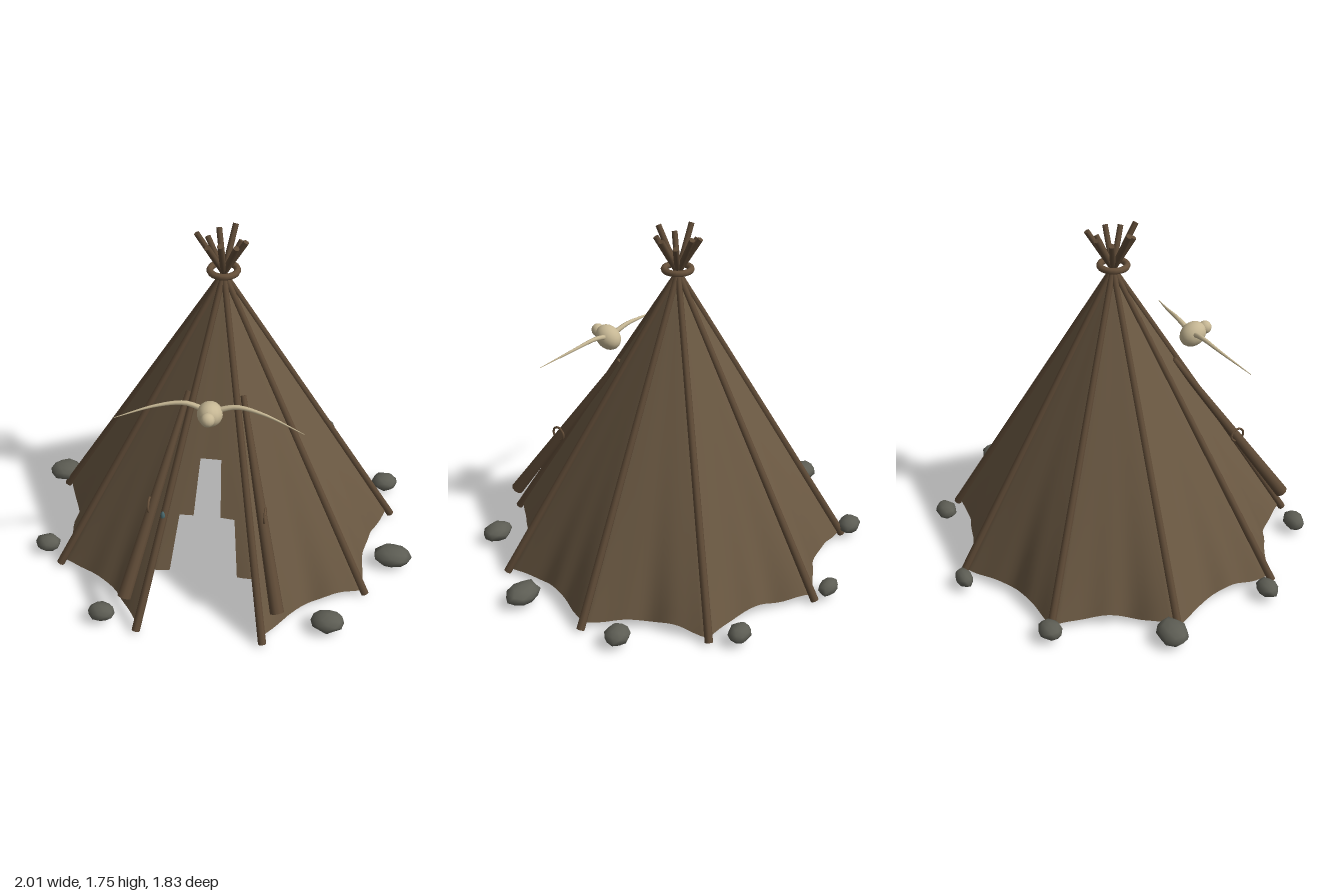
import * as THREE from 'three';
import { mergeVertices } from 'three/addons/utils/BufferGeometryUtils.js';

const mat = (name, color) => {
  const m = new THREE.MeshStandardMaterial({ color });
  m.name = name;
  return m;
};
const UP = new THREE.Vector3(0, 1, 0);
const APEX = 1.53;       // height where the poles cross
const SLOPE = 0.595;     // radius gained per unit below the crossing
const STEP = Math.PI * 2 / 9;
const lean = (y) => 0.01 + 0.024 * (APEX - y); // the crossing sits behind the middle of the base

export function createModel() {
  const hide = mat('hide', 0x6a5842);
  hide.side = THREE.DoubleSide;
  const wood = mat('wood', 0x5e4a36);
  const rope = mat('rope', 0x66503a);
  const stone = mat('stone', 0x5d5d54);
  const bone = mat('bone', 0xc6b794);
  const bead = mat('bead', 0x48666a);

  const model = new THREE.Group();
  model.name = 'tent';
  const add = (name, geometry, material, parent = model) => {
    const mesh = new THREE.Mesh(geometry, material);
    mesh.name = name;
    parent.add(mesh);
    return mesh;
  };
  // Tapered rod between two points
  const rod = (name, a, b, ra, rb, material, sides = 8) => {
    const d = b.clone().sub(a);
    const mesh = add(name, new THREE.CylinderGeometry(rb, ra, d.length(), sides), material);
    mesh.position.copy(a).addScaledVector(d, 0.5);
    mesh.quaternion.setFromUnitVectors(UP, d.normalize());
  };
  const onCone = (angle, y, scale = 1) => {
    const r = SLOPE * (APEX - y) * scale;
    return new THREE.Vector3(Math.sin(angle) * r, y, Math.cos(angle) * r + lean(y));
  };

  // Nine poles crossing at the top
  const tops = [1.71, 1.69, 1.74, 1.70, 1.74, 1.71, 1.71, 1.68, 1.73];
  tops.forEach((top, i) => {
    const a = STEP * (i + 0.5);
    rod('pole', onCone(a, 0.012), onCone(a, top), 0.02, 0.014, wood);
  });

  // Hide cover: sags between poles, folded wavy hem, stepped doorway at the front
  const cols = 162, rows = 24, pos = [], index = [];
  for (let j = 0; j <= rows; j++) {
    const t = j / rows;
    for (let i = 0; i <= cols; i++) {
      const a = i / cols * Math.PI * 2;
      const u = Math.abs(Math.sin((a / STEP - 0.5) * Math.PI));
      const ripple = Math.sin(a * 23) * 0.5 + Math.sin(a * 14 + 1) * 0.5;
      const hem = 0.018 * u + 0.014 * ripple;
      const y = 1.5 - t * (1.468 - hem * t ** 4);
      const scale = 0.99 - (0.052 + 0.055 * t ** 4) * u + 0.02 * ripple * u * t ** 4;
      pos.push(...onCone(a, y, scale).toArray());
    }
  }
  for (let j = 0; j < rows; j++) {
    const doorWidth = j < 12 ? 0 : j < 16 ? 3 : j < 20 ? 6 : 9;
    for (let i = 0; i < cols; i++) {
      if (i < doorWidth || i >= cols - doorWidth) continue;
      const p = j * (cols + 1) + i, q = p + cols + 1;
      index.push(p, q, p + 1, p + 1, q, q + 1);
    }
  }
  const cover = new THREE.BufferGeometry();
  cover.setAttribute('position', new THREE.Float32BufferAttribute(pos, 3));
  cover.setIndex(index);
  cover.computeVertexNormals();
  add('cover', cover, hide);

  // Rope binding round the crossing
  const binding = add('binding', new THREE.TorusGeometry(0.065, 0.016, 8, 20), rope);
  binding.rotation.x = Math.PI / 2;
  binding.position.set(0, 1.547, 0.012);

  // Rolled door flaps, each with a small upright ring
  for (const s of [-1, 1]) {
    const low = new THREE.Vector3(s * 0.37, 0.175, 0.835);
    const high = new THREE.Vector3(s * 0.13, 1.03, 0.28);
    rod('doorFlap', low, high, 0.034, 0.014, wood, 10);
    const ring = add('flapRing', new THREE.TorusGeometry(0.036, 0.006, 6, 14), rope);
    ring.position.set(s * 0.278, 0.565, 0.59);
    ring.rotation.y = Math.PI / 2;
  }

  // Small bead beside the doorway
  const charm = add('bead', new THREE.SphereGeometry(0.014, 8, 6), bead);
  charm.position.set(-0.21, 0.515, 0.605);
  charm.scale.set(1, 2, 1.4);

  // Horned skull above the doorway
  const skull = new THREE.Group();
  skull.name = 'skull';
  model.add(skull);
  const cranium = add('cranium', new THREE.SphereGeometry(0.06, 16, 12), bone, skull);
  cranium.position.set(0, 1.055, 0.472);
  cranium.scale.set(1, 1, 1.22);
  cranium.rotation.x = -0.5;
  const snout = add('snout', new THREE.SphereGeometry(0.034, 12, 10), bone, skull);
  snout.position.set(0, 1.075, 0.543);
  for (const s of [-1, 1]) {
    const path = new THREE.CatmullRomCurve3([
      [0.03, 1.07, 0.46], [0.12, 1.092, 0.453], [0.25, 1.077, 0.472], [0.44, 1.03, 0.53],
    ].map(([x, y, z]) => new THREE.Vector3(s * x, y, z)));
    const horn = new THREE.TubeGeometry(path, 16, 0.014, 8);
    const v = horn.attributes.position;
    // Taper each ring towards the tip
    for (let k = 0; k < v.count; k++) {
      const t = Math.floor(k / 9) / 16;
      const c = path.getPointAt(t);
      const p = new THREE.Vector3().fromBufferAttribute(v, k).sub(c).multiplyScalar(1 - 0.9 * t).add(c);
      v.setXYZ(k, p.x, p.y, p.z);
    }
    add('horn', horn, bone, skull);
  }

  // Stones round the hem: x, z, half width, half depth
  const stones = [
    [-0.08, -0.88, 0.062, 0.042], [0.48, -0.75, 0.064, 0.052], [0.85, -0.31, 0.068, 0.06],
    [0.905, 0.26, 0.095, 0.07], [0.61, 0.75, 0.083, 0.065], [-0.49, 0.84, 0.067, 0.052],
    [-0.865, 0.41, 0.064, 0.052], [-0.91, -0.165, 0.088, 0.072], [-0.62, -0.665, 0.066, 0.056],
  ];
  stones.forEach(([x, z, w, d], i) => {
    let g = new THREE.IcosahedronGeometry(1, 1);
    g.deleteAttribute('normal');
    g.deleteAttribute('uv');
    g = mergeVertices(g);
    const v = g.attributes.position;
    // Uneven dents
    for (let k = 0; k < v.count; k++) {
      const n = 1 + 0.09 * Math.sin(v.getX(k) * 5 + i * 2) * Math.cos(v.getZ(k) * 4 + v.getY(k) * 3 + i);
      v.setXYZ(k, v.getX(k) * n, v.getY(k) * n, v.getZ(k) * n);
    }
    g.computeVertexNormals();
    const mesh = add('stone', g, stone);
    mesh.position.set(x, 0.06, z);
    mesh.scale.set(w, 0.026 + w * 0.25, d);
  });

  return model;
}
